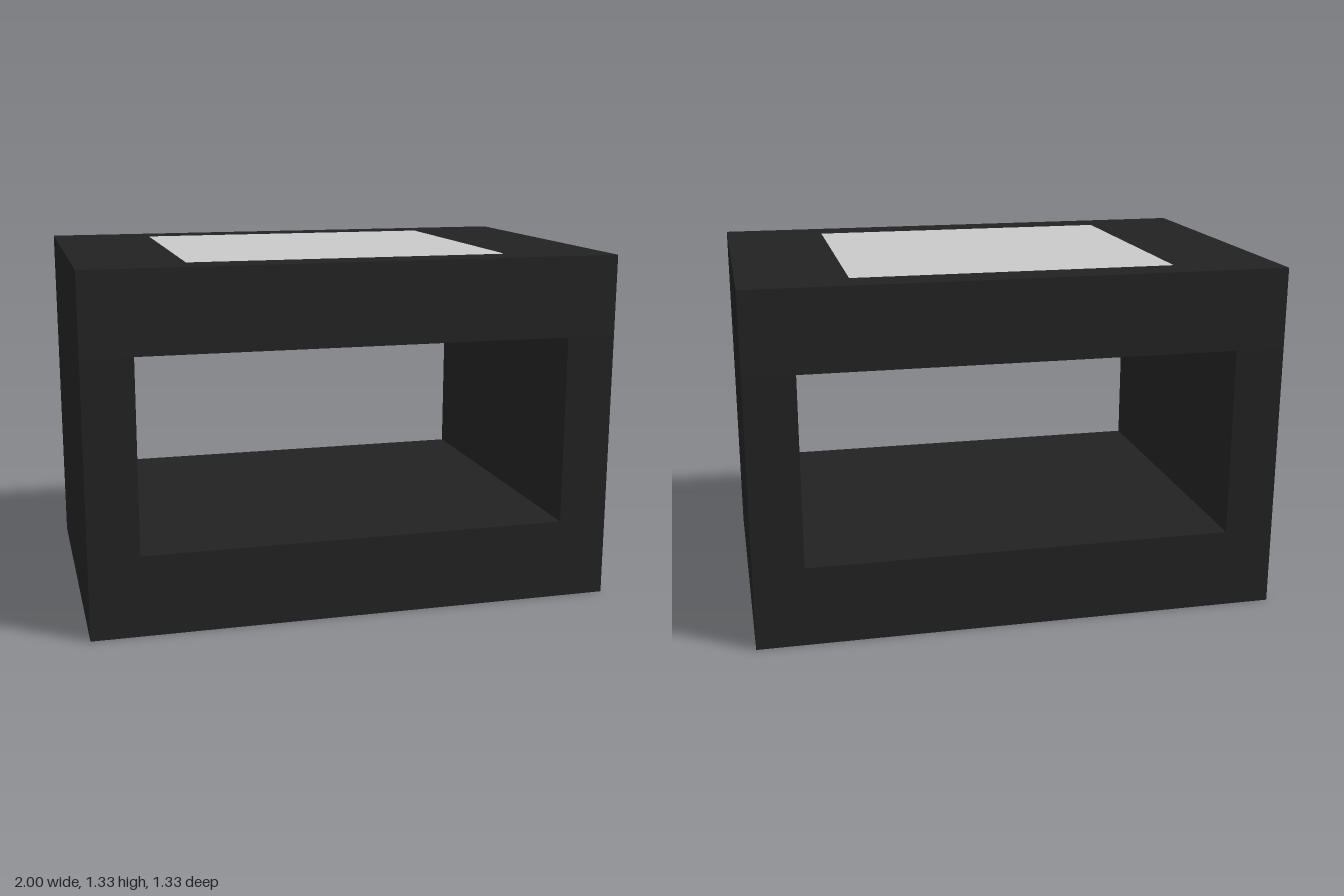
import * as THREE from 'three';

const W = 2, H = 1.333, D = 1.333;             // outer size
const INNER_X = 0.812, FLOOR = 0.305, CEILING = 1.028; // tunnel opening
const PANE_W = 1.208, PANE_D = 1.053;          // skylight size

function polygon(points) {
  return points.map(([x, y]) => new THREE.Vector2(x, y));
}

function rectangle(w, h) {
  return polygon([[-w / 2, -h / 2], [w / 2, -h / 2], [w / 2, h / 2], [-w / 2, h / 2]]);
}

function addMesh(group, name, geometry, material) {
  const mesh = new THREE.Mesh(geometry, material);
  mesh.name = name;
  group.add(mesh);
  return mesh;
}

export function createModel() {
  const group = new THREE.Group();
  group.name = 'openBox';

  const charcoal = new THREE.MeshStandardMaterial({ color: 0x222222 });
  charcoal.name = 'charcoal';
  const paleGrey = new THREE.MeshStandardMaterial({ color: 0xc8c8c8 });
  paleGrey.name = 'pale grey';

  // Floor and side walls: a U-shaped section open at front and back
  const section = new THREE.Shape(polygon([
    [-W / 2, 0], [W / 2, 0], [W / 2, CEILING], [INNER_X, CEILING],
    [INNER_X, FLOOR], [-INNER_X, FLOOR], [-INNER_X, CEILING], [-W / 2, CEILING],
  ]));
  const base = new THREE.ExtrudeGeometry(section, { depth: D, bevelEnabled: false });
  base.translate(0, 0, -D / 2);
  addMesh(group, 'floorAndWalls', base, charcoal);

  // Roof slab with a skylight cut-out
  const roofShape = new THREE.Shape(rectangle(W, D));
  roofShape.holes.push(new THREE.Path(rectangle(PANE_W, PANE_D)));
  const roof = new THREE.ExtrudeGeometry(roofShape, { depth: H - CEILING, bevelEnabled: false });
  roof.rotateX(-Math.PI / 2);
  roof.translate(0, CEILING, 0);
  addMesh(group, 'roof', roof, charcoal);

  // Skylight block, flush with the roof and the ceiling
  const pane = addMesh(group, 'skylight', new THREE.BoxGeometry(PANE_W, H - CEILING, PANE_D), paleGrey);
  pane.position.y = (H + CEILING) / 2;

  return group;
}
